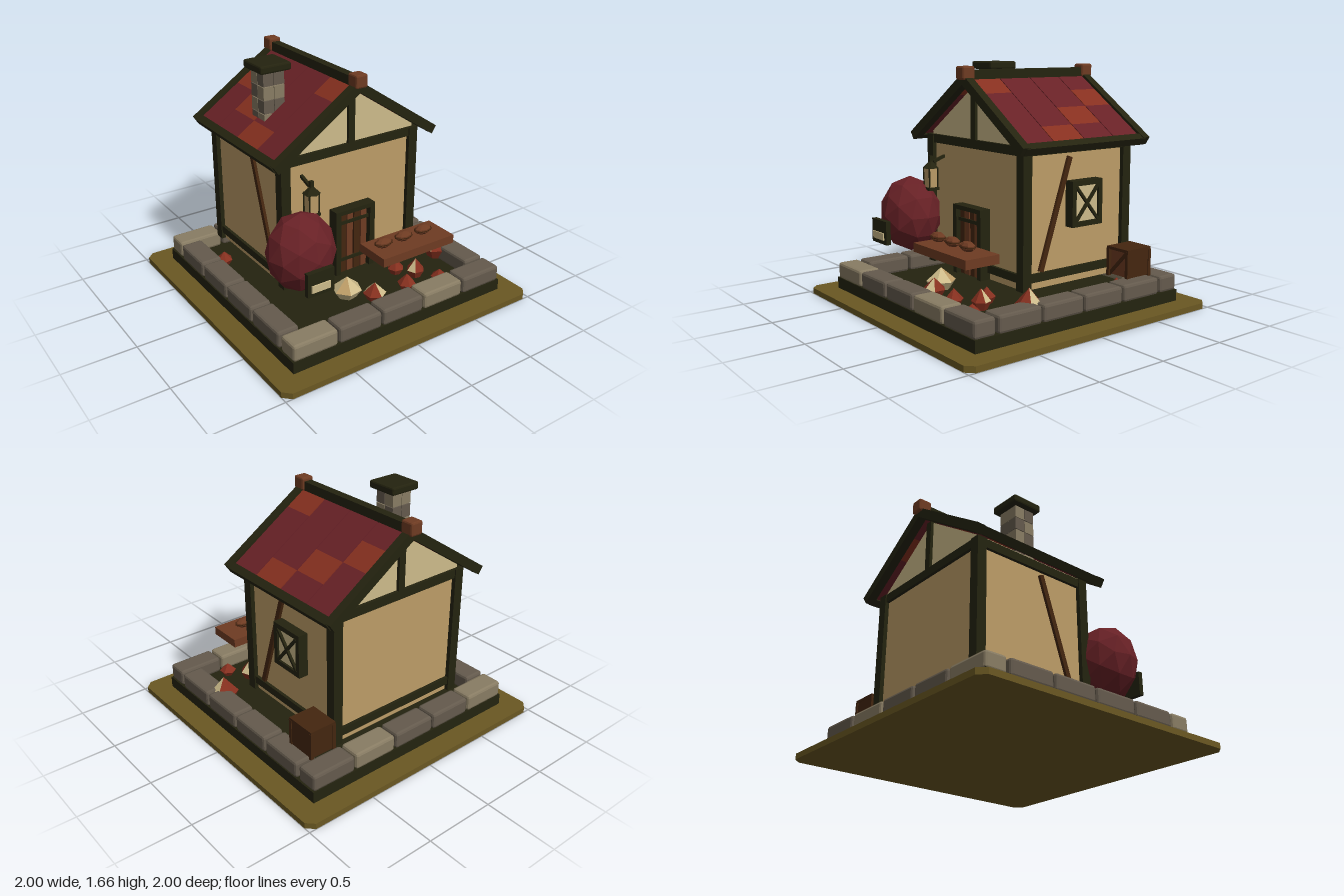
import * as THREE from 'three';
import { RoundedBoxGeometry } from 'three/addons/geometries/RoundedBoxGeometry.js';

const mat = (name, color) => {
  const m = new THREE.MeshStandardMaterial({ color });
  m.name = name;
  return m;
};

export function createModel() {
  const root = new THREE.Group();
  root.name = 'cottageShop';

  const moss = mat('moss', 0x6a5822);
  const timber = mat('darkTimber', 0x24230f);
  const stoneLight = mat('lightStone', 0x887c63);
  const stoneDark = mat('darkStone', 0x645a4d);
  const plaster = mat('plaster', 0xbc9c67);
  const cream = mat('cream', 0xcdbb8a);
  const wine = mat('wineRed', 0x682126);
  const rust = mat('rustRed', 0x86301f);
  const brown = mat('brown', 0x6e3b22);
  const darkBrown = mat('darkBrown', 0x44260f);

  const flat = (g) => {
    const f = g.index ? g.toNonIndexed() : g;
    f.computeVertexNormals();
    return f;
  };
  const add = (name, geo, material, x = 0, y = 0, z = 0, parent = root) => {
    const m = new THREE.Mesh(geo, material);
    m.name = name;
    m.position.set(x, y, z);
    parent.add(m);
    return m;
  };
  // Box given by its lower and upper limits on each axis
  const span = (name, material, x0, x1, y0, y1, z0, z1) =>
    add(name, new THREE.BoxGeometry(x1 - x0, y1 - y0, z1 - z0), material,
      (x0 + x1) / 2, (y0 + y1) / 2, (z0 + z1) / 2);
  const polygon = (pts) => new THREE.Shape(pts.map(([x, y]) => new THREE.Vector2(x, y)));

  // Ground plate with clipped corners, and the garden bed
  const c = 0.95;
  const plate = new THREE.ExtrudeGeometry(
    polygon([[-c, -1], [c, -1], [1, -c], [1, c], [c, 1], [-c, 1], [-1, c], [-1, -c]]),
    { depth: 0.04, bevelEnabled: false });
  plate.rotateX(-Math.PI / 2);
  add('groundPlate', plate, moss);
  span('gardenBed', timber, -0.85, 0.85, 0.04, 0.12, -0.85, 0.85);

  // Low stone border
  const stone = (w, d, material, x, z) => add('borderStone',
    flat(new RoundedBoxGeometry(w, 0.115, d, 1, 0.018)), material, x, 0.173, z);
  for (const z of [-0.77, 0.77])
    for (let i = 0; i < 5; i++)
      stone(0.325, 0.155, i % 3 === 0 ? stoneLight : stoneDark, (i - 2) * 0.34, z);
  for (const x of [-0.77, 0.77])
    for (let i = 0; i < 4; i++) stone(0.155, 0.325, stoneDark, x, (i - 1.5) * 0.34);

  // Walls and gable block
  const zF = 0.23, zB = -0.65, zMid = (zF + zB) / 2;
  span('walls', plaster, -0.52, 0.52, 0.22, 1.13, zB, zF);
  const gable = new THREE.ExtrudeGeometry(polygon([[-0.52, 1.13], [0.52, 1.13], [0.52, 1.17], [0, 1.52], [-0.52, 1.17]]),
    { depth: zF - zB, bevelEnabled: false });
  add('gable', gable, cream, 0, 0, zB);

  // Timber frame
  for (const x of [-0.515, 0.515])
    for (const z of [0.225, -0.645])
      span('cornerPost', timber, x - 0.035, x + 0.035, 0.22, 1.15, z - 0.035, z + 0.035);
  for (const [y0, y1] of [[0.27, 0.325], [1.09, 1.15]]) {
    for (const z of [0.225, -0.645])
      span('crossBeam', timber, -0.5, 0.5, y0, y1, z - 0.027, z + 0.027);
    for (const x of [-0.515, 0.515])
      span('sideBeam', timber, x - 0.027, x + 0.027, y0, y1, -0.62, 0.2);
  }
  for (const z of [0.225, -0.645])
    span('kingPost', timber, -0.025, 0.025, 1.14, 1.51, z - 0.027, z + 0.027);
  for (const x of [-0.525, 0.525]) {
    const brace = add('diagonalBrace', new THREE.BoxGeometry(0.03, 0.77, 0.035), darkBrown, x, 0.697, -0.02);
    brace.rotation.x = -Math.atan2(0.24, 0.73);
  }

  // Roof: each slope has four strips of four tiles
  const pitch = Math.atan(0.67), cos = Math.cos(pitch);
  const brightRow = [0, 3, 2, 1];
  const zEdges = [0.285, 0.047, -0.213, -0.473, -0.705];
  for (const s of [-1, 1]) {
    const onSlope = (name, material, x0, x1, thick, lift, z0, z1) => {
      const x = (x0 + x1) / 2;
      const m = add(name, new THREE.BoxGeometry((x1 - x0) / cos, thick, z1 - z0), material,
        s * x, 1.555 - 0.67 * x + lift, (z0 + z1) / 2);
      m.rotation.z = -s * pitch;
      return m;
    };
    for (let i = 0; i < 4; i++)
      for (let r = 0; r < 4; r++)
        onSlope('roofTile', r === brightRow[i] ? rust : wine, r * 0.152, (r + 1) * 0.152,
          0.028, 0, zEdges[i + 1] + 0.003, zEdges[i] - 0.003);
    for (const z of [0.31, -0.73])
      onSlope('bargeBoard', timber, 0, 0.63, 0.062, 0, z - 0.03, z + 0.03);
    onSlope('eaveBeam', timber, 0.59, 0.635, 0.055, 0, -0.73, 0.31);
  }
  span('ridgeBeam', timber, -0.03, 0.03, 1.55, 1.615, -0.75, 0.33);
  for (const z of [0.31, -0.735])
    add('ridgeCap', flat(new RoundedBoxGeometry(0.09, 0.09, 0.095, 1, 0.012)), brown, 0, 1.595, z);

  // Chimney of paired blocks with a cap
  for (let i = 0; i < 4; i++)
    for (let j = 0; j < 4; j++)
      add('chimneyBlock', new THREE.BoxGeometry(0.077, 0.088, 0.077),
        (i + (j >> 1)) % 2 ? stoneLight : stoneDark,
        -0.36 + (j % 2 - 0.5) * 0.081, 1.275 + i * 0.093, -0.195 + ((j >> 1) - 0.5) * 0.081);
  add('chimneyCap', flat(new RoundedBoxGeometry(0.23, 0.055, 0.23, 1, 0.012)), timber, -0.36, 1.632, -0.195);

  // Door with frame, planks and iron bars
  span('doorBack', timber, -0.13, 0.13, 0.22, 0.68, 0.22, 0.265);
  for (const s of [-1, 1])
    span('doorJamb', timber, s * 0.14 - 0.02, s * 0.14 + 0.02, 0.22, 0.7, 0.22, 0.31);
  span('doorLintel', timber, -0.16, 0.16, 0.67, 0.7, 0.22, 0.31);
  for (let i = 0; i < 4; i++)
    add('doorPlank', new THREE.BoxGeometry(0.047, 0.45, 0.02), i % 2 ? brown : darkBrown, (i - 1.5) * 0.058, 0.445, 0.272);
  for (const y of [0.32, 0.6]) span('doorBar', timber, -0.12, 0.12, y - 0.012, y + 0.012, 0.27, 0.29);

  // Side window with crossed bars
  span('windowPane', cream, 0.51, 0.575, 0.63, 0.87, -0.35, -0.15);
  for (const z of [-0.135, -0.365]) span('windowStile', timber, 0.52, 0.59, 0.6, 0.905, z - 0.017, z + 0.017);
  for (const y of [0.617, 0.888]) span('windowRail', timber, 0.52, 0.59, y - 0.017, y + 0.017, -0.38, -0.12);
  for (const s of [-1, 1]) {
    const bar = add('windowCrossBar', new THREE.BoxGeometry(0.02, 0.31, 0.018), timber, 0.583, 0.752, -0.25);
    bar.rotation.x = s * Math.atan2(0.2, 0.24);
  }

  // Hanging lantern on a bracket
  const lx = -0.38, lz = 0.345;
  add('lanternBase', new THREE.BoxGeometry(0.09, 0.02, 0.08), timber, lx, 0.78, lz);
  const glass = flat(new THREE.CylinderGeometry(0.05, 0.042, 0.14, 4));
  glass.rotateY(Math.PI / 4);
  add('lanternGlass', glass, plaster, lx, 0.86, lz);
  for (const sx of [-1, 1])
    for (const sz of [-1, 1])
      add('lanternRod', new THREE.BoxGeometry(0.008, 0.14, 0.008), timber, lx + sx * 0.036, 0.86, lz + sz * 0.034);
  add('lanternRoof', flat(new THREE.ConeGeometry(0.06, 0.06, 6)), timber, lx, 0.955, lz);
  add('lanternKnob', new THREE.BoxGeometry(0.025, 0.05, 0.025), timber, lx, 0.985, lz);
  const arm = add('lanternBracket', new THREE.BoxGeometry(0.02, 0.02, 0.1), timber, lx, 0.985, 0.275);
  arm.rotation.x = 0.35;

  // Round bush
  const bush = add('bush', flat(new THREE.IcosahedronGeometry(1, 1)), wine, -0.52, 0.59, 0.43);
  bush.scale.set(0.235, 0.27, 0.21);

  // Small sign board in front of the bush
  span('signBoard', timber, -0.63, -0.435, 0.405, 0.57, 0.645, 0.68);
  span('signPanel', cream, -0.605, -0.465, 0.435, 0.485, 0.68, 0.689);

  // Counter with three loaves
  span('counter', brown, -0.055, 0.54, 0.44, 0.5, 0.44, 0.695);
  for (let i = 0; i < 3; i++) {
    const x = 0.04 + i * 0.168;
    const loaf = add('loaf', flat(new THREE.SphereGeometry(1, 8, 5)), brown, x, 0.537, 0.565);
    loaf.scale.set(0.066, 0.034, 0.042);
    const crust = add('loafCrust', new THREE.TorusGeometry(1, 0.07, 4, 8), darkBrown, x, 0.537, 0.565);
    crust.rotation.x = Math.PI / 2;
    crust.scale.set(0.068, 0.043, 0.06);
  }

  // Crate beside the house
  span('crate', brown, 0.565, 0.735, 0.23, 0.415, -0.685, -0.495);
  span('crateLid', darkBrown, 0.55, 0.745, 0.405, 0.425, -0.695, -0.475);
  for (const x of [0.56, 0.735])
    for (const z of [-0.685, -0.485])
      span('cratePost', darkBrown, x - 0.012, x + 0.012, 0.22, 0.41, z - 0.012, z + 0.012);
  span('crateSide', darkBrown, 0.735, 0.742, 0.23, 0.41, -0.685, -0.485);
  span('crateBack', darkBrown, 0.56, 0.735, 0.23, 0.41, -0.692, -0.685);
  const slat = add('crateSlat', new THREE.BoxGeometry(0.022, 0.235, 0.012), darkBrown, 0.648, 0.322, -0.49);
  slat.rotation.z = -0.75;

  // Pointed produce heaps with alternating facets: x, z, radius, top height, colours
  const heaps = [
    [0.71, 0.34, 0.1, 0.31, rust, cream], [-0.15, 0.42, 0.105, 0.27, cream, plaster],
    [0.31, 0.37, 0.06, 0.23, rust, rust], [-0.02, 0.56, 0.08, 0.25, rust, cream],
    [0.24, 0.58, 0.065, 0.24, rust, rust], [0.4, 0.48, 0.065, 0.26, rust, cream],
    [0.5, 0.62, 0.06, 0.21, rust, rust], [-0.63, -0.43, 0.06, 0.22, rust, rust],
    [0.69, -0.43, 0.06, 0.24, rust, rust],
  ];
  heaps.forEach(([x, z, r, top, a, b], k) => {
    const h = top - 0.12, geo = flat(new THREE.ConeGeometry(r, h * 0.6, 6, 1, true));
    const foot = flat(new THREE.CylinderGeometry(r, r * 0.6, h * 0.4, 6, 1, true));
    // one facet per colour group
    geo.clearGroups();
    const per = geo.attributes.position.count / 6;
    for (let i = 0; i < 6; i++) geo.addGroup(i * per, per, i % 3 === 1 ? 1 : 0);
    add('produceTop', geo, [a, b], x, top - h * 0.3, z).rotation.y = k * 0.7;
    add('produceFoot', foot, a, x, 0.12 + h * 0.2, z).rotation.y = k * 0.7;
  });

  return root;
}
